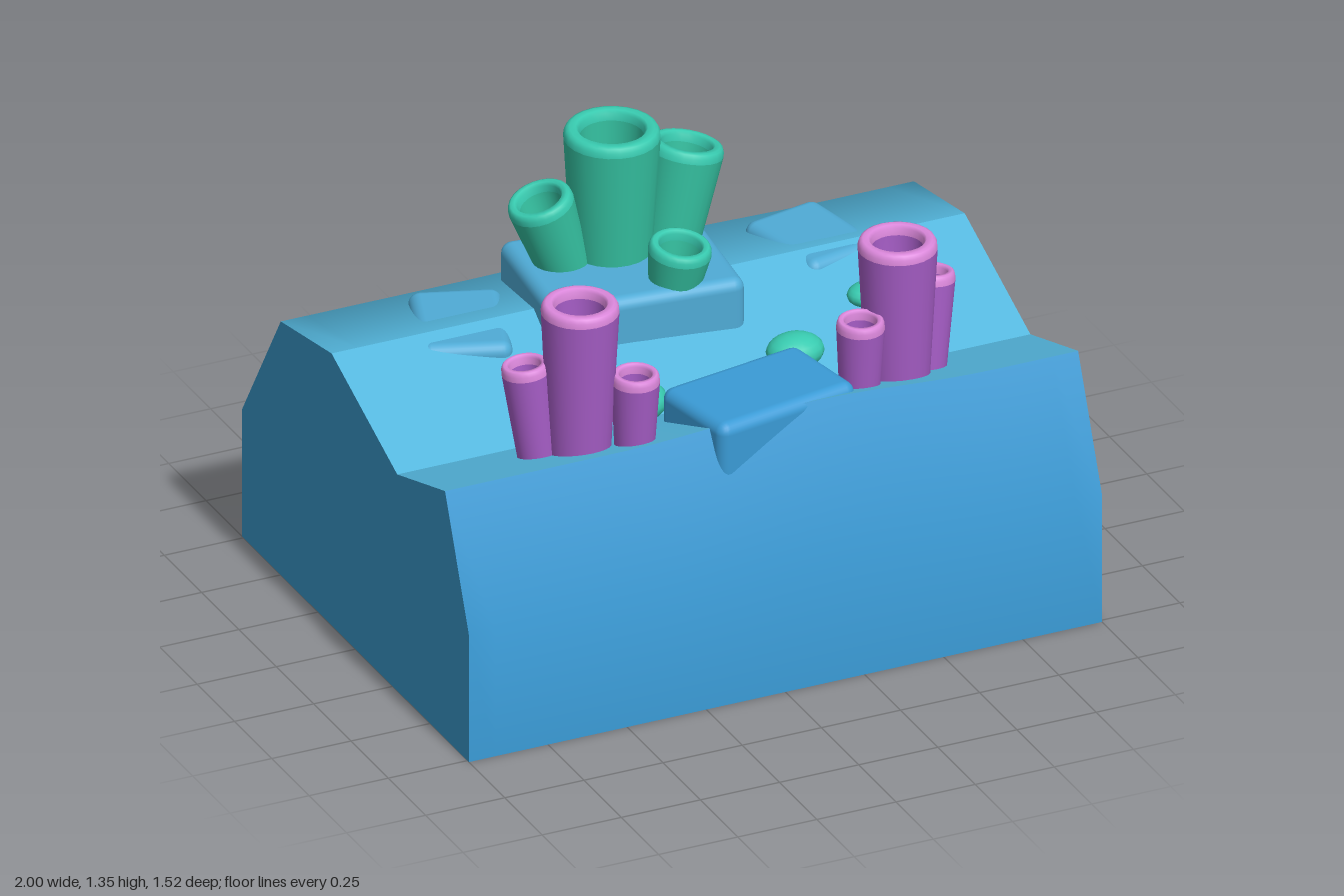
import * as THREE from 'three';
import { RoundedBoxGeometry } from 'three/addons/geometries/RoundedBoxGeometry.js';

const mat = (name, color) => {
  const m = new THREE.MeshStandardMaterial({ color });
  m.name = name;
  return m;
};

// Ground profile as [z, y], from the front foot over the top to the back foot
const PROFILE = [[0.76, 0], [0.76, 0.41], [0.6, 0.8], [0.28, 0.7], [-0.16, 0.88], [-0.5, 0.82], [-0.76, 0.41], [-0.76, 0]];
const SWELL = [0, 0.02, 0.028, 0.012, 0, 0.01, 0.02, 0];

// Gentle swell of the ground along x, zero at both ends
const swell = (x) => {
  const t = (x - 0.15) / 0.6;
  return Math.abs(t) < 1 ? Math.cos(t * Math.PI / 2) ** 2 : 0;
};

// Strip of ground swept along x through the given profile points
function band(ids) {
  const n = 24, pos = [], idx = [];
  for (const k of ids) {
    for (let i = 0; i <= n; i++) {
      const x = -1 + (2 * i) / n;
      pos.push(x, PROFILE[k][1] + SWELL[k] * swell(x), PROFILE[k][0]);
    }
  }
  for (let j = 0; j < ids.length - 1; j++) {
    for (let i = 0; i < n; i++) {
      const a = j * (n + 1) + i, b = a + n + 1;
      idx.push(a, a + 1, b, a + 1, b + 1, b);
    }
  }
  const g = new THREE.BufferGeometry();
  g.setAttribute('position', new THREE.Float32BufferAttribute(pos, 3));
  g.setIndex(idx);
  g.computeVertexNormals();
  return g;
}

export function createModel() {
  const model = new THREE.Group();
  model.name = 'reefBlock';
  const deep = mat('deepBlue', 0x3a9bd6);
  const end = mat('endBlue', 0x3897c8);
  const sand = mat('lightBlue', 0x54b7de);
  const stone = mat('stoneBlue', 0x4fabd6);
  const green = mat('green', 0x34bf9f);
  const greenRim = mat('brightGreen', 0x38cbb0);
  const purple = mat('purple', 0xa45cc4);
  const pink = mat('pink', 0xdc88dc);

  const add = (parent, name, geo, material) => {
    const m = new THREE.Mesh(geo, material);
    m.name = name;
    parent.add(m);
    return m;
  };

  // Ground block
  add(model, 'frontFace', band([0, 1, 2]), deep);
  add(model, 'frontLedge', band([2, 3]), sand);
  add(model, 'valleySlope', band([3, 4]), sand);
  add(model, 'backSlope', band([4, 5, 6]), sand);
  add(model, 'backFace', band([6, 7]), deep);
  add(model, 'underside', band([7, 0]), deep);
  for (const s of [1, -1]) {
    const shape = new THREE.Shape(PROFILE.map(([z, y]) => new THREE.Vector2(-s * z, y)));
    const geo = new THREE.ShapeGeometry(shape);
    geo.rotateY(s * Math.PI / 2);
    add(model, s > 0 ? 'leftEnd' : 'rightEnd', geo, end).position.x = s;
  }

  // Rocks: name, material, centre x z, size x z, bottom, top, turn
  const rocks = [
    ['platformRock', stone, -0.06, -0.205, 0.59, 0.47, 0.68, 0.95, -0.1],
    ['rightRock', stone, -0.56, -0.23, 0.27, 0.37, 0.66, 0.865, -0.34],
    ['leftRock', stone, 0.57, -0.265, 0.26, 0.34, 0.66, 0.872, 0.2],
    ['frontRock', deep, 0.055, 0.465, 0.48, 0.31, 0.56, 0.84, 0.18],
  ];
  for (const [name, m, x, z, w, d, y0, y1, turn] of rocks) {
    const r = add(model, name, new RoundedBoxGeometry(w, y1 - y0, d, 3, 0.035), m);
    r.position.set(x, (y0 + y1) / 2, z);
    r.rotation.y = turn;
  }

  // Hollow tube coral, flared upward, with a rounded rim
  function tube(name, base, top, r0, r1, hole, body, rim, floor) {
    const a = new THREE.Vector3(...base), dir = new THREE.Vector3(...top).sub(a);
    const h = dir.length(), ri = r1 * hole, c = 0.03;
    const g = new THREE.Group();
    g.name = name;
    g.position.copy(a);
    g.quaternion.setFromUnitVectors(new THREE.Vector3(0, 1, 0), dir.normalize());
    const lathe = (pts) => new THREE.LatheGeometry(pts.map((p) => new THREE.Vector2(...p)), 24);
    add(g, 'wall', lathe([[r0, 0], [r1, h - c]]), body);
    add(g, 'rim', lathe([[r1, h - c], [r1 * 0.99, h - c * 0.5], [r1 * 0.94, h - c * 0.12], [r1 * 0.87, h],
      [ri * 1.12, h], [ri * 1.03, h - c * 0.3], [ri, h - c]]), rim);
    const inner = [[ri, h - c], [r0 * hole * 0.95, 0.05]];
    if (floor) inner.push([0, 0.05]);
    add(g, 'hollow', lathe(inner), body);
    model.add(g);
  }

  // Green cluster on the platform
  [
    [[-0.06, 0.9, -0.28], [-0.06, 1.345, -0.275], 0.115, 0.14],
    [[-0.2, 0.9, -0.28], [-0.29, 1.165, -0.28], 0.075, 0.097],
    [[0.12, 0.9, -0.285], [0.19, 1.23, -0.3], 0.085, 0.11],
    [[0.03, 0.9, -0.055], [0.045, 1.06, -0.035], 0.072, 0.092],
  ].forEach(([b, t, r0, r1], i) => tube('greenTube' + (i + 1), b, t, r0, r1, 0.66, green, greenRim, false));

  // Purple clusters at the front
  [
    [[-0.505, 0.7, 0.45], [-0.505, 1.23, 0.455], 0.088, 0.113],
    [[-0.615, 0.7, 0.41], [-0.65, 1.035, 0.39], 0.055, 0.07],
    [[-0.36, 0.7, 0.51], [-0.36, 1, 0.52], 0.055, 0.07],
    [[0.505, 0.7, 0.44], [0.505, 1.2, 0.44], 0.09, 0.115],
    [[0.61, 0.68, 0.405], [0.645, 1.035, 0.37], 0.055, 0.07],
    [[0.36, 0.7, 0.49], [0.36, 1, 0.5], 0.055, 0.07],
  ].forEach(([b, t, r0, r1], i) => tube('purpleTube' + (i + 1), b, t, r0, r1, 0.65, purple, pink, true));

  // Green pebbles: centre, radii
  [
    [-0.262, 0.775, 0.293, 0.104, 0.06, 0.088],
    [0.278, 0.79, 0.235, 0.087, 0.052, 0.072],
    [0.598, 0.815, 0.055, 0.068, 0.036, 0.055],
    [-0.622, 0.678, -0.592, 0.076, 0.04, 0.042],
  ].forEach(([x, y, z, rx, ry, rz], i) => {
    const b = add(model, 'greenPebble' + (i + 1), new THREE.SphereGeometry(1, 16, 10), greenRim);
    b.position.set(x, y, z);
    b.scale.set(rx, ry, rz);
  });

  return model;
}
